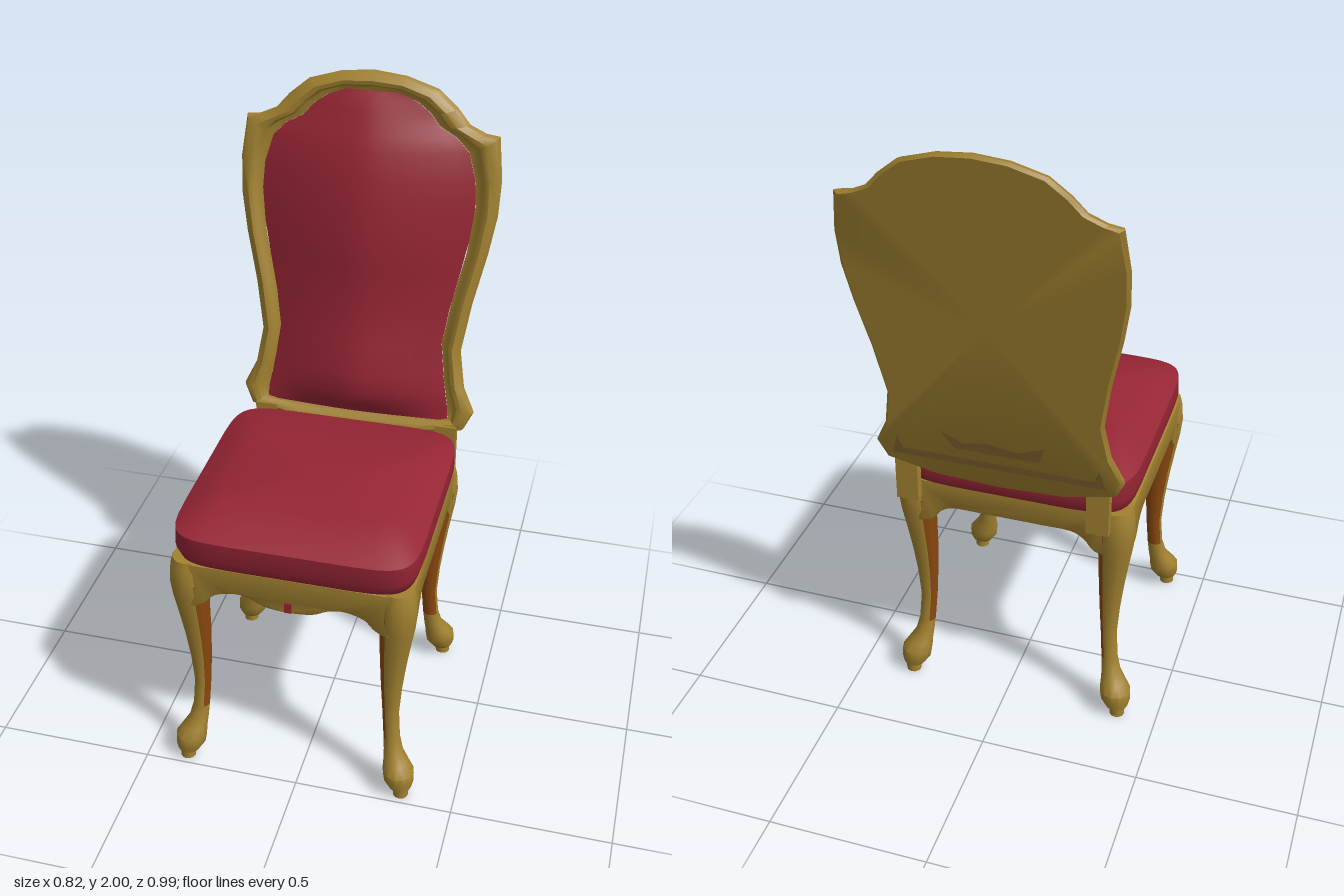
import * as THREE from 'three';
import { toCreasedNormals } from 'three/addons/utils/BufferGeometryUtils.js';

const material = (name, color, side = THREE.FrontSide) => {
  const m = new THREE.MeshStandardMaterial({ color, side });
  m.name = name;
  return m;
};

// Skins a list of cross-sections; pick(i, j) chooses the material group of a face
function loft(rings, { closed = true, pick = () => 0, crease = 0.7 } = {}) {
  const n = rings[0].length;
  const faces = [[], []];
  for (let i = 0; i < rings.length - 1; i++) {
    for (let j = 0; j < (closed ? n : n - 1); j++) {
      const k = (j + 1) % n;
      const a = i * n + j, b = i * n + k, c = (i + 1) * n + k, d = (i + 1) * n + j;
      faces[pick(i, j)].push(a, b, c, a, c, d);
    }
  }
  const g = new THREE.BufferGeometry();
  g.setAttribute('position', new THREE.Float32BufferAttribute(rings.flat(2), 3));
  g.setIndex(faces.flat());
  if (faces[1].length) {
    g.addGroup(0, faces[0].length, 0);
    g.addGroup(faces[0].length, faces[1].length, 1);
  }
  return toCreasedNormals(g, crease);
}

// Leaning plane of the chair back
const backZ = (y) => -0.3 - 0.17 * (y - 0.85);

// Half outline of the back, top to bottom: outer edge x, y, then upholstery edge x, y
const BACK = [
  [0, 2.0, 0, 1.94], [0.1, 1.99, 0.08, 1.94], [0.2, 1.96, 0.14, 1.92],
  [0.26, 1.91, 0.18, 1.89], [0.3, 1.865, 0.21, 1.855], [0.35, 1.843, 0.265, 1.825],
  [0.392, 1.838, 0.305, 1.785], [0.408, 1.71, 0.33, 1.7], [0.405, 1.6, 0.335, 1.62],
  [0.385, 1.48, 0.32, 1.48], [0.35, 1.32, 0.285, 1.32], [0.325, 1.16, 0.264, 1.18],
  [0.345, 1.04, 0.28, 1.06], [0.383, 0.96, 0.295, 0.98], [0.355, 0.9, 0.3, 0.935],
  [0.2, 0.86, 0.2, 0.93], [0, 0.85, 0, 0.93],
];

function backFrame() {
  const mirror = BACK.map(([x, y, u, v]) => [-x, y, -u, v]);
  const outline = [...mirror, ...BACK.slice(1, -1).reverse()];
  // Moulding section: t runs from outer to inner edge, d is depth to the front
  const section = [[0.15, 0], [0, 0.01], [0.08, 0.028], [0.4, 0.04], [0.62, 0.036], [0.75, 0.024], [1, 0.018]];
  const rings = section.map(([t, d]) => outline.map(([x, y, u, v]) => {
    const py = y + (v - y) * t;
    return [x + (u - x) * t, py, backZ(py) + d];
  }));
  rings.unshift(outline.map(() => [0, 1.45, backZ(1.45)]));
  return loft(rings);
}

// Padded back: rows of y, half width and padding depth at the middle
function backCushion() {
  const rows = [
    [0.925, 0.3, 0.035], [0.97, 0.297, 0.075], [1.02, 0.287, 0.102], [1.08, 0.277, 0.103],
    [1.18, 0.264, 0.096], [1.3, 0.281, 0.078], [1.42, 0.306, 0.1], [1.52, 0.325, 0.104],
    [1.62, 0.335, 0.107], [1.7, 0.33, 0.1], [1.785, 0.305, 0.088], [1.825, 0.265, 0.074],
    [1.855, 0.21, 0.063], [1.89, 0.18, 0.05], [1.92, 0.14, 0.036], [1.942, 0.08, 0.022],
  ];
  const cols = 16;
  const rings = rows.map(([y, w, b]) => Array.from({ length: cols + 1 }, (_, j) => {
    const u = (2 * j) / cols - 1;
    return [u * w, y, backZ(y) + 0.02 + (b - 0.02) * (1 - Math.abs(u) ** 1.5)];
  }));
  return loft(rings, { closed: false, crease: 1 });
}

// Seat pad: squared-off rings of y, x0, x1, z0, z1
function seatCushion() {
  const levels = [
    [0.78, -0.02, -0.02, 0.11, 0.11], [0.78, -0.36, 0.325, -0.25, 0.455],
    [0.8, -0.38, 0.345, -0.262, 0.475], [0.84, -0.391, 0.356, -0.267, 0.49],
    [0.9, -0.388, 0.354, -0.262, 0.49], [0.93, -0.335, 0.307, -0.16, 0.42],
    [0.95, -0.28, 0.25, -0.04, 0.35], [0.953, -0.02, -0.02, 0.15, 0.15],
  ];
  const soft = (v) => Math.sign(v) * Math.abs(v) ** 0.26;
  const rings = levels.map(([y, x0, x1, z0, z1]) => Array.from({ length: 40 }, (_, j) => {
    const a = ((j + 0.5) / 40) * Math.PI * 2;
    return [(x0 + x1) / 2 + ((x1 - x0) / 2) * soft(Math.cos(a)), y,
      (z0 + z1) / 2 - ((z1 - z0) / 2) * soft(Math.sin(a))];
  }));
  return loft(rings, { crease: 0.8 });
}

// Curved leg on the corner diagonal: y, outer offset, inner offset
function legGeometry() {
  const levels = [
    [0, 0.352, 0.352], [0, 0.376, 0.328], [0.03, 0.376, 0.328], [0.035, 0.385, 0.312],
    [0.06, 0.391, 0.295], [0.09, 0.39, 0.29], [0.12, 0.37, 0.29], [0.15, 0.35, 0.288],
    [0.2, 0.337, 0.284], [0.3, 0.33, 0.277], [0.4, 0.337, 0.271], [0.5, 0.349, 0.267],
    [0.6, 0.364, 0.265], [0.66, 0.374, 0.263], [0.72, 0.38, 0.262], [0.77, 0.376, 0.265],
    [0.8, 0.368, 0.27], [0.8, 0.319, 0.319],
  ];
  const rings = levels.map(([y, o, i]) => Array.from({ length: 12 }, (_, j) => {
    const a = (j / 12) * Math.PI * 2, c = (o + i) / 2, r = (o - i) / 2;
    return [c + r * Math.cos(a), y, c - r * Math.sin(a)];
  }));
  // Inward faces of the shaft are stained darker
  return loft(rings, { pick: (i, j) => (i >= 8 && i <= 13 && j >= 1 && j <= 7 ? 1 : 0) });
}

// Seat rail with a shaped lower edge, given as half-edge points from the end to the middle
function railGeometry(edge) {
  const lower = [...edge, ...edge.slice(0, -1).reverse().map(([x, y]) => [-x, y])];
  const shape = new THREE.Shape();
  shape.moveTo(-0.3, 0.79);
  shape.lineTo(lower[0][0], lower[0][1]);
  shape.splineThru(lower.slice(1).map(([x, y]) => new THREE.Vector2(x, y)));
  shape.lineTo(0.3, 0.79);
  const g = new THREE.ExtrudeGeometry(shape, {
    depth: 0.055, curveSegments: 28, bevelSize: 0.01, bevelThickness: 0.012, bevelSegments: 2,
  });
  return toCreasedNormals(g.translate(0, 0, 0.302), 0.7);
}

export function createModel() {
  const gold = material('gold wood', 0xa28230);
  const brown = material('brown wood', 0x8a480f);
  const dull = material('dull gold', 0x80602c, THREE.DoubleSide);
  const red = material('red fabric', 0x962534, THREE.DoubleSide);

  const chair = new THREE.Group();
  chair.name = 'chair';
  const add = (parent, name, geometry, mat) => {
    const mesh = new THREE.Mesh(geometry, mat);
    mesh.name = name;
    parent.add(mesh);
    return mesh;
  };

  // Base: four legs and four rails turned about the seat centre
  const base = new THREE.Group();
  base.name = 'base';
  base.position.set(-0.02, 0, 0.108);
  chair.add(base);
  const leg = legGeometry();
  const plain = railGeometry([[-0.3, 0.65], [-0.265, 0.66], [-0.235, 0.695], [-0.19, 0.718], [-0.1, 0.72], [0, 0.72]]);
  const scalloped = railGeometry([[-0.3, 0.65], [-0.265, 0.67], [-0.23, 0.705], [-0.17, 0.722], [-0.12, 0.715], [-0.07, 0.692], [0, 0.685]]);
  for (let k = 0; k < 4; k++) {
    add(base, 'leg', leg, [gold, brown]).rotation.y = (k * Math.PI) / 2;
    add(base, k === 0 ? 'frontRail' : 'rail', k === 0 ? scalloped : plain, gold).rotation.y = (k * Math.PI) / 2;
  }
  add(base, 'railInset', new THREE.BoxGeometry(0.022, 0.035, 0.006), red).position.set(0, 0.7, 0.37);

  // Upholstery and back
  add(chair, 'seatCushion', seatCushion(), red);
  add(chair, 'backFrame', backFrame(), gold);
  add(chair, 'backCushion', backCushion(), red);

  // Short posts joining the back to the rear rail
  for (const s of [-1, 1]) {
    add(chair, 'backPost', new THREE.BoxGeometry(0.07, 0.17, 0.03), gold).position.set(s * 0.3, 0.83, -0.28);
  }

  // Worn markings low on the rear face
  const marks = [
    [[-0.31, 1.0], [-0.33, 0.93], [0.33, 0.93], [0.31, 1.0], [0.295, 0.955], [-0.295, 0.955]],
    [[-0.15, 1.05], [-0.13, 0.99], [0.13, 0.99], [0.17, 1.05], [0.1, 1.015], [0.03, 1.03], [-0.07, 1.015]],
  ];
  for (const points of marks) {
    const g = new THREE.ShapeGeometry(new THREE.Shape(points.map(([x, y]) => new THREE.Vector2(x, y))));
    const p = g.attributes.position;
    for (let i = 0; i < p.count; i++) p.setZ(i, backZ(p.getY(i)) - 0.003);
    g.computeVertexNormals();
    add(chair, 'backMarking', g, dull);
  }
  return chair;
}
